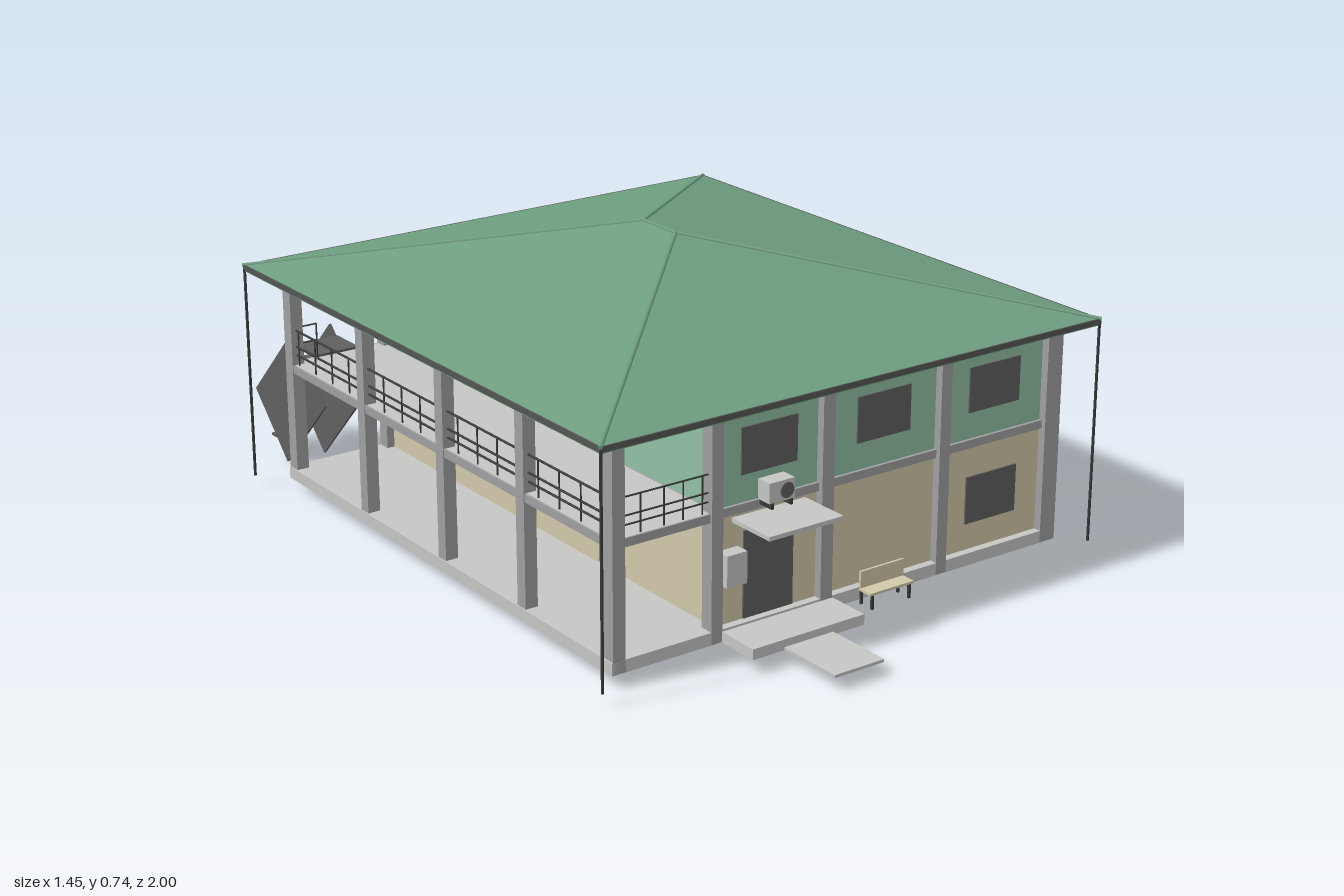
import * as THREE from 'three';

const mat = (name, color) => {
  const m = new THREE.MeshStandardMaterial({ color });
  m.name = name;
  return m;
};

export function createModel() {
  const root = new THREE.Group();
  root.name = 'house';
  const roofGreen = mat('roofGreen', 0x6e9e80);
  const wallGreen = mat('wallGreen', 0x92c0a4);
  const wallTan = mat('wallTan', 0xd2c9aa);
  const grey = mat('columnGrey', 0xa0a0a2);
  const concrete = mat('concrete', 0xc6c7c5);
  const glass = mat('darkGlass', 0x606060);
  const metal = mat('darkMetal', 0x383a38);
  const fascia = mat('fascia', 0x545654);

  // Box from its extents on each axis
  const box = (name, m, x0, x1, y0, y1, z0, z1) => {
    const mesh = new THREE.Mesh(new THREE.BoxGeometry(x1 - x0, y1 - y0, z1 - z0), m);
    mesh.position.set((x0 + x1) / 2, (y0 + y1) / 2, (z0 + z1) / 2);
    mesh.name = name;
    root.add(mesh);
    return mesh;
  };
  // Thin round bar between two points
  const bar = (name, m, a, b, r = 0.003, sides = 6) => {
    const p = new THREE.Vector3(...a), q = new THREE.Vector3(...b);
    const mesh = new THREE.Mesh(new THREE.CylinderGeometry(r, r, p.distanceTo(q), sides), m);
    mesh.position.copy(p).add(q).multiplyScalar(0.5);
    mesh.quaternion.setFromUnitVectors(new THREE.Vector3(0, 1, 0), q.sub(p).normalize());
    mesh.name = name;
    root.add(mesh);
  };

  // Floor slab, two-tone walls, string course, gallery and ceiling
  box('floorSlab', concrete, -0.655, 0.602, 0.035, 0.065, -0.675, 0.72);
  box('lowerWalls', wallTan, -0.375, 0.604, 0.039, 0.318, -0.655, 0.7);
  box('upperWalls', wallGreen, -0.375, 0.604, 0.338, 0.568, -0.655, 0.7);
  box('stringCourse', grey, -0.38, 0.608, 0.318, 0.338, -0.663, 0.708);
  box('galleryFloor', concrete, -0.645, -0.38, 0.322, 0.338, -0.665, 0.71);
  box('galleryEdge', grey, -0.65, -0.642, 0.318, 0.338, -0.67, 0.715);
  for (const z of [-0.67, 0.708]) box('galleryEndBeam', grey, -0.645, -0.38, 0.318, 0.338, z, z + 0.007);
  box('ceiling', concrete, -0.65, 0.6, 0.56, 0.569, -0.67, 0.715);

  // Columns
  const column = (x0, x1, z0, z1) => box('column', grey, x0, x1, 0.036, 0.57, z0, z1);
  for (const [x0, x1] of [[-0.652, -0.62], [-0.395, -0.365], [-0.095, -0.062], [0.243, 0.273], [0.565, 0.61]]) {
    column(x0, x1, 0.685, 0.72);
    column(x0, x1, -0.675, -0.64);
  }
  for (const z of [0.232, -0.184]) column(0.58, 0.612, z - 0.013, z + 0.013);
  for (const z of [-0.31, 0.04, 0.37]) column(-0.652, -0.62, z - 0.016, z + 0.016);

  // Hipped roof
  const X0 = -0.722, X1 = 0.668, Z0 = -0.74, Z1 = 0.78, Y = 0.583;
  const corners = [[X0, Y, Z1], [X1, Y, Z1], [X1, Y, Z0], [X0, Y, Z0]];
  const front = [-0.027, 0.742, 0.085], back = [-0.027, 0.742, -0.042];
  const [a, b, c, d] = corners;
  const faces = [a, b, front, c, d, back, b, c, back, b, back, front, d, a, front, d, front, back];
  const roofGeo = new THREE.BufferGeometry();
  roofGeo.setAttribute('position', new THREE.Float32BufferAttribute(faces.flat(), 3));
  roofGeo.computeVertexNormals();
  const roof = new THREE.Mesh(roofGeo, roofGreen);
  roof.name = 'roof';
  root.add(roof);
  box('roofEdge', fascia, X0, X1, 0.571, 0.584, Z0, Z1);
  box('roofSoffit', roofGreen, X0 + 0.002, X1 - 0.002, 0.568, 0.572, Z0 + 0.002, Z1 - 0.002);
  corners.forEach((p, i) => bar('hipCap', roofGreen, p, i < 2 ? front : back, 0.005));
  bar('ridgeCap', roofGreen, front, back, 0.005);

  // Downpipes at the eave corners
  for (const x of [X0 + 0.003, X1 - 0.003])
    for (const z of [Z0 + 0.003, Z1 - 0.003]) bar('downpipe', metal, [x, 0.036, z], [x, 0.575, z], 0.0035);

  // Windows and doors as thin plates
  const frontPlate = (n, x0, x1, y0, y1) => box(n, glass, x0, x1, y0, y1, 0.698, 0.704);
  const backPlate = (n, x0, x1, y0, y1) => box(n, glass, x0, x1, y0, y1, -0.659, -0.653);
  const sidePlate = (n, z0, z1, y0, y1) => box(n, glass, 0.6, 0.608, y0, y1, z0, z1);
  for (const x of [-0.305, 0.015, 0.342]) frontPlate('window', x, x + 0.152, 0.402, 0.51);
  frontPlate('window', 0.342, 0.494, 0.13, 0.245);
  frontPlate('frontDoor', -0.297, -0.161, 0.066, 0.272);
  for (const x of [0.37, 0.105, -0.14]) backPlate('window', x, x + 0.14, 0.405, 0.51);
  for (const x of [0.37, 0.11]) backPlate('window', x, x + 0.14, 0.132, 0.243);
  sidePlate('window', 0.162, 0.3, 0.405, 0.508);
  sidePlate('window', -0.257, -0.122, 0.405, 0.508);
  sidePlate('window', 0.162, 0.3, 0.132, 0.24);
  box('galleryDoor', glass, -0.379, -0.373, 0.338, 0.53, -0.56, -0.45);

  // Front entrance: landing, step and canopy
  box('entranceLanding', concrete, -0.367, -0.06, 0.035, 0.06, 0.71, 0.83);
  box('entranceStep', concrete, -0.282, -0.147, 0.035, 0.042, 0.83, 1.0);
  box('entranceCanopy', concrete, -0.328, -0.127, 0.299, 0.309, 0.7, 0.832);

  // Side steps
  box('sideLanding', concrete, 0.6, 0.695, 0.036, 0.064, 0.095, 0.365);
  box('sideStep', concrete, 0.69, 0.725, 0.036, 0.05, 0.105, 0.352);

  // Meter box and air conditioners
  box('meterBox', concrete, -0.365, -0.311, 0.165, 0.24, 0.7, 0.735);
  box('airConditioner', concrete, -0.265, -0.196, 0.341, 0.388, 0.71, 0.75);
  const fan = new THREE.Mesh(new THREE.CylinderGeometry(0.018, 0.018, 0.004, 20), glass);
  fan.rotation.x = Math.PI / 2;
  fan.position.set(-0.218, 0.364, 0.751);
  fan.name = 'fan';
  root.add(fan);
  for (const x of [-0.256, -0.204]) box('bracket', metal, x - 0.003, x + 0.003, 0.327, 0.341, 0.7, 0.75);
  box('airConditioner', concrete, 0.604, 0.638, 0.352, 0.396, -0.1, -0.027);
  const hood = box('sideHood', concrete, 0.604, 0.668, 0.417, 0.422, -0.107, -0.015);
  hood.rotation.z = -0.27;
  box('airConditioner', concrete, 0.045, 0.135, 0.393, 0.435, -0.71, -0.655);
  box('airConditioner', concrete, 0.265, 0.355, 0.116, 0.16, -0.71, -0.655);

  // Bench
  box('benchBack', wallTan, -0.005, 0.12, 0.078, 0.118, 0.744, 0.75);
  box('benchSeat', wallTan, -0.005, 0.12, 0.071, 0.077, 0.744, 0.785);
  for (const x of [0.004, 0.111]) {
    box('benchLeg', metal, x - 0.003, x + 0.003, 0.036, 0.115, 0.74, 0.745);
    box('benchLeg', metal, x - 0.003, x + 0.003, 0.036, 0.072, 0.777, 0.783);
  }

  // Gallery railings along the outer side and both ends
  for (const y of [0.363, 0.384, 0.426]) {
    bar('rail', metal, [-0.638, y, -0.66], [-0.638, y, 0.705]);
    bar('rail', metal, [-0.63, y, 0.705], [-0.385, y, 0.705], 0.002);
  }
  for (let i = 0; i <= 16; i++) {
    const z = -0.63 + i * 0.081;
    bar('baluster', metal, [-0.638, 0.338, z], [-0.638, 0.426, z], 0.002);
  }
  for (const x of [-0.57, -0.51, -0.46, -0.41])
    bar('baluster', metal, [x, 0.338, 0.705], [x, 0.426, 0.705], 0.002);
  // End rails leave a gap for the stairs
  for (const [x0, x1] of [[-0.63, -0.572], [-0.458, -0.385]])
    for (const y of [0.384, 0.426]) bar('rail', metal, [x0, y, -0.66], [x1, y, -0.66], 0.002);
  for (const x of [-0.572, -0.458]) bar('baluster', metal, [x, 0.338, -0.66], [x, 0.426, -0.66], 0.002);

  // Outside stairs: two broad side panels with treads between them
  for (const x of [-0.569, -0.463]) {
    const panel = box('stairSide', glass, x - 0.003, x + 0.003, 0.187 - 0.148, 0.187 + 0.148, -0.925, -0.707);
    panel.position.z = -0.816;
    panel.rotation.x = Math.PI / 4;
  }
  for (let i = 0; i < 8; i++) {
    const y = 0.05 + i * 0.036, z = -0.92 + i * 0.023;
    box('tread', glass, -0.567, -0.465, y, y + 0.006, z - 0.011, z + 0.011);
  }
  box('stairTop', glass, -0.575, -0.457, 0.336, 0.344, -0.765, -0.66);

  return root;
}
